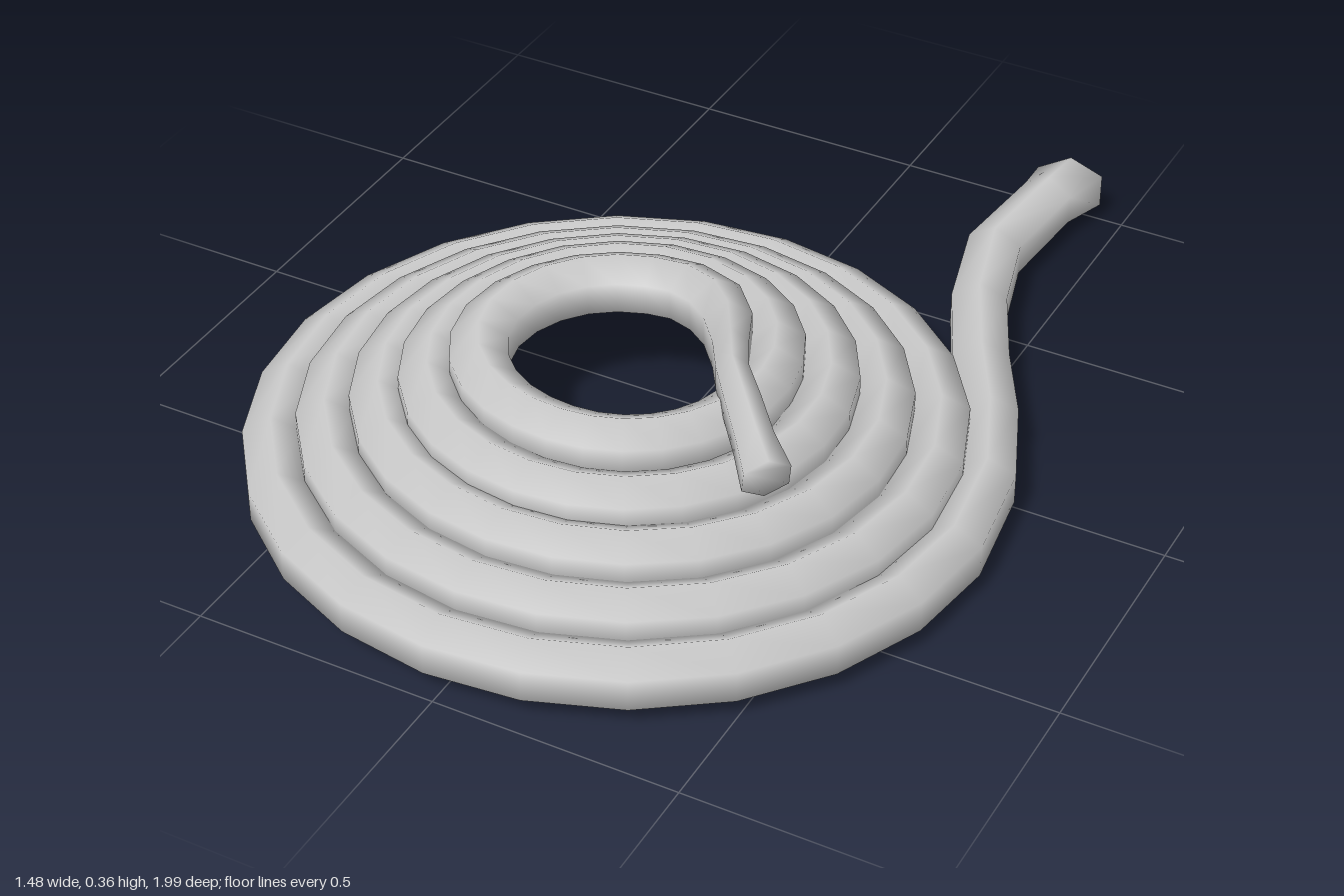
import * as THREE from 'three';

const SIDES = 6;
const UP = new THREE.Vector3(0, 1, 0);

// Lofts a six-sided rope through sections {p, w, h, t}: centre, half width, half height, optional tangent.
function loftRope(sections) {
  const pos = [], index = [], n = sections.length;
  sections.forEach((s, i) => {
    const before = sections[Math.max(i - 1, 0)].p;
    const after = sections[Math.min(i + 1, n - 1)].p;
    const tangent = (s.t ?? after.clone().sub(before)).clone().normalize();
    const side = tangent.clone().cross(UP).normalize();
    const rise = side.clone().cross(tangent);
    for (let j = 0; j < SIDES; j++) {
      const a = ((j + 0.5) / SIDES) * Math.PI * 2; // corners at top and bottom, flat flanks
      const v = s.p.clone()
        .addScaledVector(side, Math.cos(a) * s.w)
        .addScaledVector(rise, Math.sin(a) * s.h);
      pos.push(v.x, v.y, v.z);
    }
  });
  for (let i = 0; i < n - 1; i++) {
    for (let j = 0; j < SIDES; j++) {
      const k = (j + 1) % SIDES;
      const a = i * SIDES + j, b = i * SIDES + k;
      index.push(a, a + SIDES, b, b, a + SIDES, b + SIDES);
    }
  }
  // end caps share the rim corners so the shading stays soft
  const last = (n - 1) * SIDES;
  for (let j = 1; j < SIDES - 1; j++) {
    index.push(0, j, j + 1, last, last + j + 1, last + j);
  }
  const g = new THREE.BufferGeometry();
  g.setAttribute('position', new THREE.Float32BufferAttribute(pos, 3));
  g.setIndex(index);
  g.computeVertexNormals();
  return g;
}

const section = (x, y, z, w = 0.065, h = w, t) => ({ p: new THREE.Vector3(x, y, z), w, h, t });

export function createModel() {
  const group = new THREE.Group();
  group.name = 'coiledRope';

  // loose tail, running in from the back with a flared end
  const tail = [
    section(0.38, 0.072, -0.985, 0.08, 0.072, new THREE.Vector3(0.03, 0, 0.14)),
    section(0.365, 0.075, -0.9, 0.062),
    section(0.345, 0.075, -0.67),
    section(0.4, 0.075, -0.47),
    section(0.485, 0.075, -0.29),
    section(0.575, 0.075, -0.13),
    section(0.65, 0.075, 0.05),
  ];

  // rising spiral: one radius for every quarter turn (right, front, left, back)
  const radii = [
    0.70, 0.672, 0.668, 0.638,
    0.60, 0.558, 0.568, 0.538,
    0.49, 0.448, 0.468, 0.449,
    0.377, 0.348, 0.375, 0.359,
    0.26, 0.232, 0.283, 0.265,
  ];
  const radiusCurve = new THREE.SplineCurve(radii.map((r, i) => new THREE.Vector2(i, r)));
  const quarters = radii.length - 1, steps = quarters * 6;
  const coils = [];
  for (let i = 0; i <= steps; i++) {
    const q = (i / steps) * quarters;
    const r = radiusCurve.getPoint(i / steps).y;
    const a = q * Math.PI / 2;
    coils.push(section(
      -0.02 + r * Math.cos(a),
      0.075 + 0.0103 * q,
      0.265 + r * Math.sin(a)));
  }

  // inner end, folded outward over the upper coils
  const tip = [
    section(0.055, 0.273, 0.025, 0.065),
    section(0.115, 0.28, 0.085, 0.055, 0.06),
    section(0.17, 0.3, 0.18, 0.04, 0.055),
    section(0.215, 0.315, 0.26, 0.036, 0.05),
    section(0.275, 0.315, 0.335, 0.04, 0.05),
    section(0.335, 0.3, 0.405, 0.042, 0.05),
    section(0.392, 0.28, 0.465, 0.052, 0.05),
  ];

  const rope = new THREE.Mesh(
    loftRope([...tail, ...coils, ...tip]),
    new THREE.MeshStandardMaterial({ color: 0xcccccc }));
  rope.name = 'rope';
  group.add(rope);
  return group;
}
